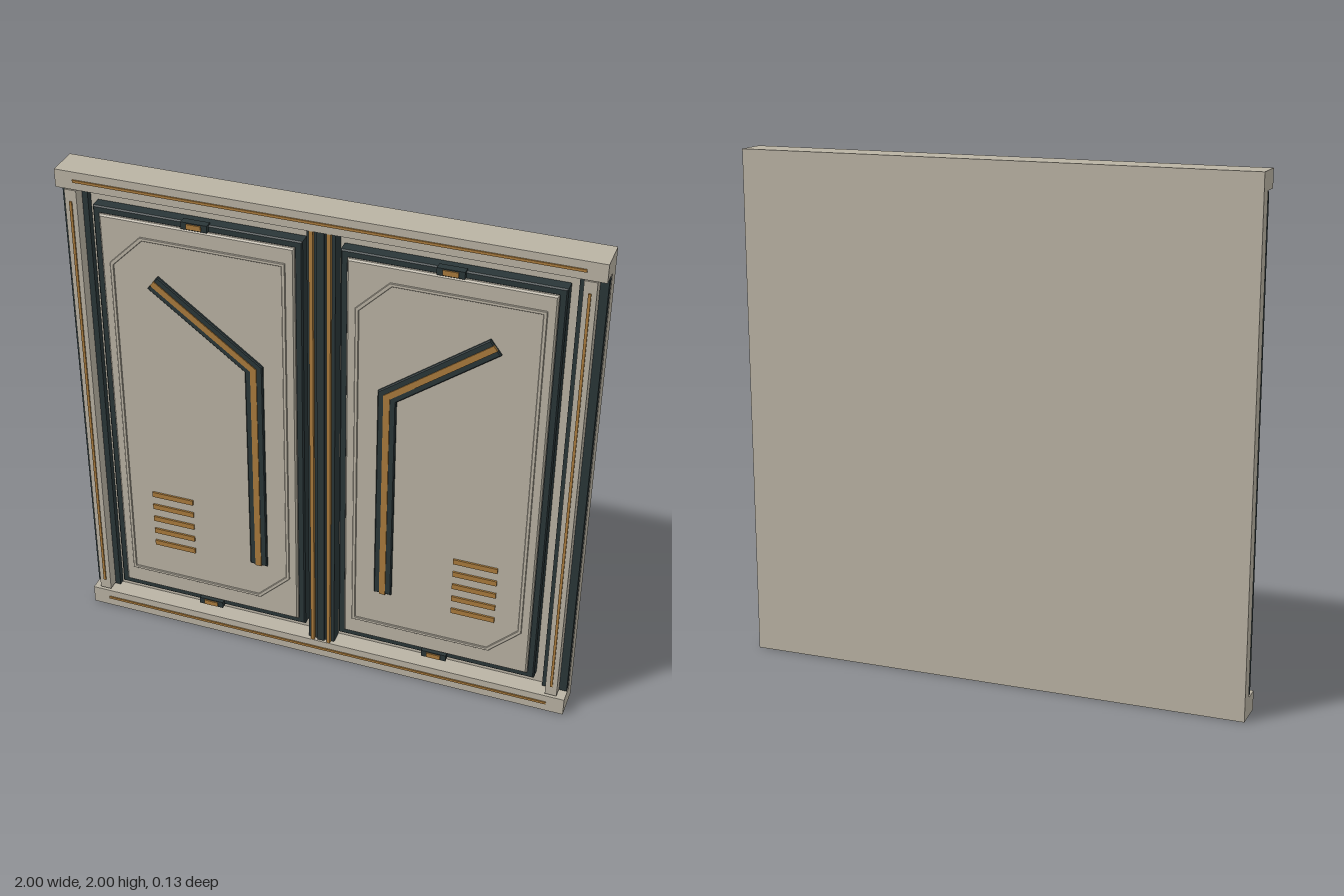
import * as THREE from 'three';

const mat = (name, color) => {
  const m = new THREE.MeshStandardMaterial({ color });
  m.name = name;
  return m;
};

export function createModel() {
  const root = new THREE.Group();
  root.name = 'doubleDoor';
  const stone = mat('warm grey', 0xbab3a4);
  const dark = mat('dark slate', 0x2a3638);
  const gold = mat('bronze', 0xaa7b3c);

  const add = (name, geo, material, parent = root) => {
    const mesh = new THREE.Mesh(geo, material);
    mesh.name = name;
    parent.add(mesh);
    return mesh;
  };
  // Box given by its extents on each axis
  const box = (name, material, x0, x1, y0, y1, z0, z1, parent) => {
    const geo = new THREE.BoxGeometry(x1 - x0, y1 - y0, z1 - z0);
    geo.translate((x0 + x1) / 2, (y0 + y1) / 2, (z0 + z1) / 2);
    return add(name, geo, material, parent);
  };
  const toShape = (pts) => new THREE.Shape(pts.map(([x, y]) => new THREE.Vector2(x, y)));
  const rect = (x0, x1, y0, y1) => [[x0, y0], [x1, y0], [x1, y1], [x0, y1]];

  // Flat plate from z0 to z1 with an optional chamfer on its edges
  const plate = (name, material, shape, z0, z1, bevel, parent) => {
    const geo = new THREE.ExtrudeGeometry(shape, {
      depth: z1 - z0 - bevel * 2,
      bevelEnabled: bevel > 0,
      bevelThickness: bevel,
      bevelSize: bevel,
      bevelOffset: -bevel,
      bevelSegments: 1,
    });
    geo.translate(0, 0, z0 + bevel);
    return add(name, geo, material, parent);
  };

  // Mitred outline of a bent bar around a three-point path
  const bentBar = ([a, b, c], width) => {
    const h = width / 2;
    const normal = (p, q) => {
      const l = Math.hypot(q[0] - p[0], q[1] - p[1]);
      return [-(q[1] - p[1]) / l, (q[0] - p[0]) / l];
    };
    const n1 = normal(a, b), n2 = normal(b, c);
    const k = 1 + n1[0] * n2[0] + n1[1] * n2[1];
    const miter = [(n1[0] + n2[0]) / k, (n1[1] + n2[1]) / k];
    const off = (p, n, s) => [p[0] + n[0] * h * s, p[1] + n[1] * h * s];
    return toShape([
      off(a, n1, 1), off(b, miter, 1), off(c, n2, 1),
      off(c, n2, -1), off(b, miter, -1), off(a, n1, -1),
    ]);
  };

  // Rectangle with its upper left and lower right corners cut off
  const cutRect = (x0, x1, y0, y1, cut) => [
    [x0, y0], [x1 - cut, y0], [x1, y0 + cut], [x1, y1], [x0 + cut, y1], [x0, y1 - cut],
  ];

  // Back slab and the top and bottom rails
  box('backSlab', stone, -1, 1, 0, 2, -0.066, -0.01);
  [['bottomRail', 0, 0.075, 0.04], ['topRail', 1.93, 2, 1.965]].forEach(([name, y0, y1, mid]) => {
    box(name, stone, -1, 1, y0, y1, -0.01, 0.062);
    box(name + 'Inlay', gold, -0.93, 0.93, mid - 0.005, mid + 0.005, 0.06, 0.067);
  });

  // Central seam column
  box('seamColumn', dark, -0.053, 0.053, 0.075, 1.93, -0.01, 0.045);
  box('seamRib', dark, -0.014, 0.014, 0.075, 1.93, 0.045, 0.054);
  for (const s of [-1, 1]) {
    const x = s * 0.033;
    box('seamInlay', gold, x - 0.007, x + 0.007, 0.075, 1.93, 0.045, 0.06);
  }

  for (const s of [-1, 1]) {
    const side = new THREE.Group();
    side.name = s > 0 ? 'leftDoor' : 'rightDoor';
    root.add(side);
    const span = (a, b) => (s > 0 ? [a, b] : [-b, -a]);

    // Outer post with its dark channel
    box('postChannel', dark, ...span(0.9, 0.998), 0.08, 1.925, -0.01, 0.015, side);
    box('post', stone, ...span(0.922, 0.968), 0.085, 1.925, 0.015, 0.06, side);
    box('postInlay', gold, ...span(0.94, 0.95), 0.13, 1.88, 0.06, 0.065, side);

    // Dark surround and raised panel
    const frame = toShape(rect(...span(0.07, 0.87), 0.13, 1.87));
    frame.holes.push(new THREE.Path(toShape(rect(...span(0.1, 0.84), 0.16, 1.84)).getPoints()));
    plate('panelSurround', dark, frame, -0.01, 0.042, 0.005, side);
    plate('panel', stone, toShape(rect(...span(0.097, 0.843), 0.157, 1.843)), -0.01, 0.053, 0.006, side);

    // Thin raised moulding with two cut corners
    const [m0, m1] = span(0.13, 0.81);
    const trim = toShape(cutRect(m0, m1, 0.23, 1.78, 0.125));
    trim.holes.push(new THREE.Path(
      toShape(cutRect(m0 + 0.014, m1 - 0.014, 0.244, 1.766, 0.119)).getPoints()));
    plate('panelMoulding', stone, trim, 0.05, 0.058, 0.002, side);

    // Bent bar with a bronze core
    const path = [[s * 0.256, 0.4], [s * 0.256, 1.315], [s * 0.643, 1.605]];
    plate('bentBar', dark, bentBar(path, 0.07), 0.05, 0.065, 0.004, side);
    plate('bentBarInlay', gold, bentBar(path, 0.024), 0.06, 0.069, 0, side);

    // Vent slats
    for (let i = 0; i < 5; i++) {
      const y = 0.39 + i * 0.06;
      box('ventSlat', gold, ...span(0.53, 0.702), y - 0.011, y + 0.011, 0.05, 0.06, side);
    }

    // Clips at the top and bottom of the surround
    for (const y of [0.14, 1.862]) {
      box('clip', dark, ...span(0.42, 0.52), y - 0.014, y + 0.014, 0.03, 0.06, side);
      box('clipInlay', gold, ...span(0.442, 0.498), y - 0.01, y + 0.01, 0.06, 0.065, side);
    }
  }
  return root;
}
